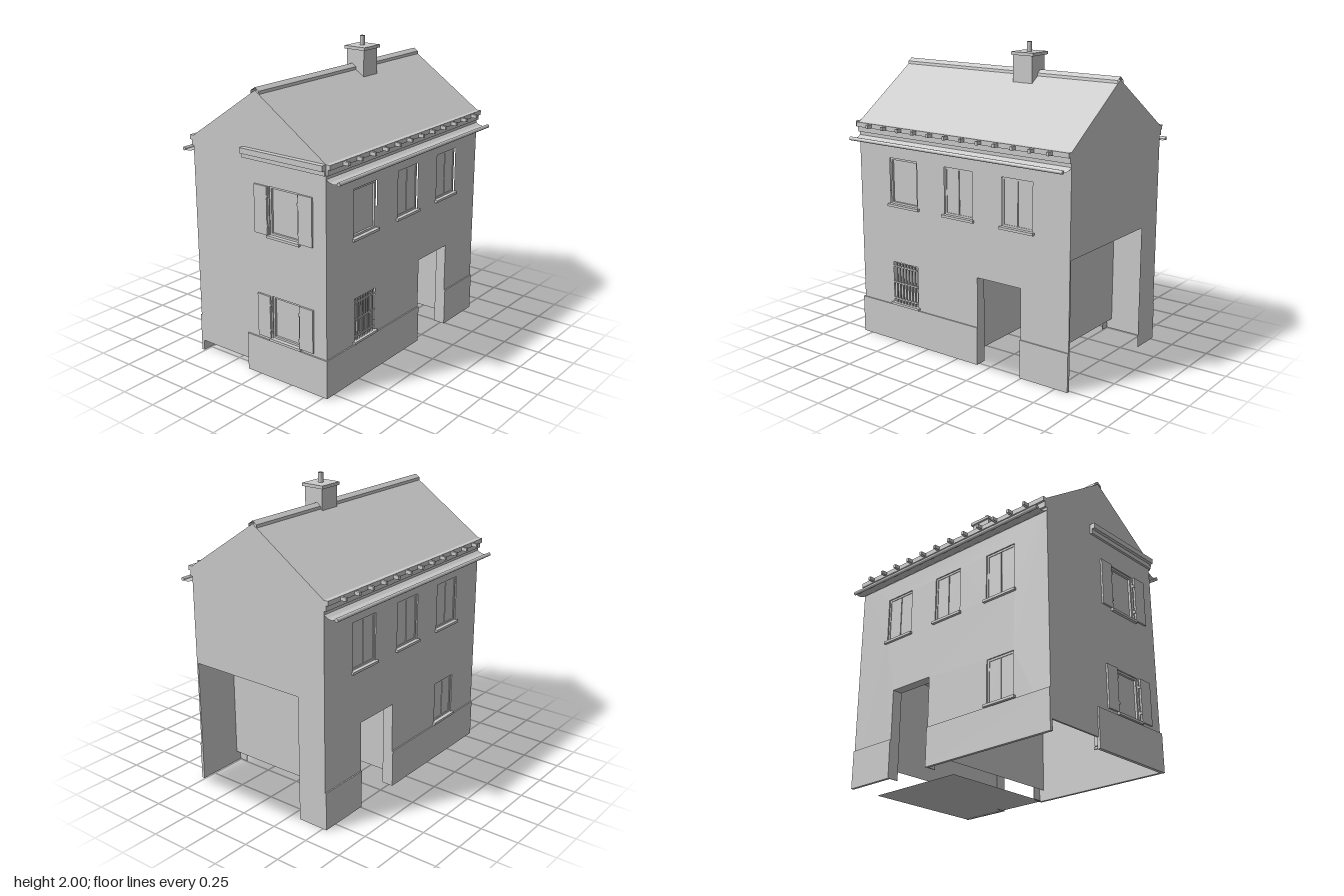
import * as THREE from 'three';

const mat = new THREE.MeshStandardMaterial({ color: 0xcccccc, flatShading: true });
const thin = new THREE.MeshStandardMaterial({ color: 0xcccccc, flatShading: true, side: THREE.DoubleSide });
const round = new THREE.MeshStandardMaterial({ color: 0xcccccc });

function add(parent, name, geo, m = mat) {
  const mesh = new THREE.Mesh(geo, m);
  mesh.name = name;
  parent.add(mesh);
  return mesh;
}

// box given by its limits on each axis
function box(parent, name, x0, x1, y0, y1, z0, z1) {
  const g = new THREE.BoxGeometry(x1 - x0, y1 - y0, z1 - z0);
  g.translate((x0 + x1) / 2, (y0 + y1) / 2, (z0 + z1) / 2);
  return add(parent, name, g);
}

function shape(points, holes = []) {
  const s = new THREE.Shape(points.map(p => new THREE.Vector2(...p)));
  for (const [a, b, c, d] of holes) {
    s.holes.push(new THREE.Path([[a, c], [a, d], [b, d], [b, c]].map(p => new THREE.Vector2(...p))));
  }
  return s;
}

// thin wall whose outer face lies on local z = 0
function wall(parent, name, points, holes) {
  const depth = 0.012;
  const g = new THREE.ExtrudeGeometry(shape(points, holes), { depth, bevelEnabled: false });
  g.translate(0, 0, -depth);
  return add(parent, name, g);
}

// open folded sheet: an x, y path swept along z
function sheet(parent, name, path, z0, z1) {
  const g = new THREE.PlaneGeometry(1, 1, path.length - 1, 1);
  const p = g.attributes.position;
  for (let i = 0; i < p.count; i++) {
    const [x, y] = path[i % path.length];
    p.setXYZ(i, x, y, i < path.length ? z0 : z1);
  }
  g.computeVertexNormals();
  return add(parent, name, g, thin);
}

// recessed window in a wall facing local +z: style is glass, leaves or grille
function windowUnit(parent, [u0, u1, v0, v1], style) {
  const w = new THREE.Group();
  w.name = 'window';
  parent.add(w);
  const t = 0.013, um = (u0 + u1) / 2;
  box(w, 'pane', u0, u1, v0, v1, -0.03, -0.022);
  box(w, 'sill', u0 - 0.014, u1 + 0.014, v0 - 0.016, v0, -0.02, 0.018);
  for (const [a, b] of [[u0, u0 + t], [u1 - t, u1]]) box(w, 'frameUpright', a, b, v0, v1, -0.025, -0.008);
  for (const [a, b] of [[v0, v0 + t], [v1 - t, v1]]) box(w, 'frameRail', u0 + t, u1 - t, a, b, -0.025, -0.008);
  if (style === 'leaves') {
    box(w, 'leaf', u0 + t, um - 0.003, v0 + t, v1 - t, -0.022, -0.012);
    box(w, 'leaf', um + 0.003, u1 - t, v0 + t, v1 - t, -0.022, -0.012);
  }
  if (style === 'grille') {
    for (let i = 1; i < 8; i++) {
      const u = u0 + (u1 - u0) * i / 8;
      box(w, 'grilleBar', u - 0.004, u + 0.004, v0, v1, -0.006, 0.002);
    }
    for (const f of [0.1, 0.5, 0.9]) {
      const v = v0 + (v1 - v0) * f;
      box(w, 'grilleRail', u0, u1, v - 0.005, v + 0.005, -0.004, 0.004);
    }
  }
  return w;
}

export function createModel() {
  const house = new THREE.Group();
  house.name = 'house';
  const X = 0.52, ZF = 0.81, ZB = -0.84, EAVE = 1.46, RIDGE = 1.81;

  // front gable with shuttered windows
  const front = new THREE.Group();
  front.name = 'frontFace';
  front.position.z = ZF;
  house.add(front);
  const frontWindows = [[0.09, 0.315, 0.945, 1.25], [0.10, 0.315, 0.27, 0.55]];
  wall(front, 'frontWall', [[-X, 0.07], [-0.105, 0.07], [-0.105, 0], [X, 0], [X, EAVE], [0, RIDGE], [-X, EAVE]], frontWindows);
  for (const r of frontWindows) {
    const w = windowUnit(front, r, 'glass');
    for (const [a, b] of [[r[0] - 0.107, r[0] - 0.008], [r[1] + 0.008, r[1] + 0.11]]) {
      box(w, 'openShutter', a, b, r[2], r[3], 0.002, 0.014);
    }
    for (const u of [r[0] - 0.004, r[1] + 0.004]) {
      for (const f of [0.2, 0.8]) {
        const v = r[2] + (r[3] - r[2]) * f;
        box(w, 'hinge', u - 0.004, u + 0.004, v - 0.008, v + 0.008, 0, 0.016);
      }
    }
  }
  box(front, 'frontPlinth', -0.105, X + 0.006, 0, 0.25, -0.005, 0.01);
  box(front, 'frontCornice', -0.105, X, 1.395, 1.425, 0, 0.015);
  box(front, 'frontCornice', -0.105, X, 1.425, EAVE, 0, 0.035);

  // back gable, open along one lower corner
  const back = add(house, 'backWall', new THREE.ShapeGeometry(shape(
    [[-X, 0.82], [0.32, 0.82], [0.32, 0], [X, 0], [X, EAVE], [0, RIDGE], [-X, EAVE]])));
  back.rotation.y = Math.PI;
  back.position.z = ZB;

  // long walls, each with a doorway near the back
  for (const s of [1, -1]) {
    const side = new THREE.Group();
    side.name = s > 0 ? 'leftSide' : 'rightSide';
    side.rotation.y = s * Math.PI / 2;
    side.position.x = s * X;
    house.add(side);
    const span = (z0, z1) => [-s * z0, -s * z1].sort((a, b) => a - b);
    const rects = [[0.32, 0.55], [-0.125, 0.095], [-0.575, -0.35]].map(([a, b]) => [...span(a, b), 0.945, 1.25]);
    rects.push([...span(0.33, 0.54), 0.27, 0.55]);
    const styles = s > 0 ? ['glass', 'leaves', 'leaves', 'grille'] : ['leaves', 'leaves', 'leaves', 'leaves'];
    const outline = [[ZB, 0], [-0.49, 0], [-0.49, 0.58], [-0.16, 0.58], [-0.16, 0], [ZF, 0], [ZF, EAVE], [ZB, EAVE]]
      .map(([z, y]) => [-s * z, y]);
    wall(side, 'sideWall', outline, rects);
    rects.forEach((r, i) => windowUnit(side, r, styles[i]));
    for (const [a, b] of [[ZB, -0.49], [-0.16, s > 0 ? ZF + 0.01 : ZF]]) {
      box(side, 'sidePlinth', ...span(a, b), 0, 0.25, -0.005, 0.008);
    }

    // door reveal
    for (const [a, b] of [[-0.495, -0.49], [-0.16, -0.155]]) box(side, 'doorJamb', ...span(a, b), 0, 0.58, -0.07, -0.001);
    box(side, 'doorHead', ...span(-0.495, -0.155), 0.58, 0.585, -0.07, -0.001);

    // stepped cornice with rafter ends
    box(side, 'cornice', ...span(ZB, ZF), 1.395, 1.43, 0, 0.015);
    box(side, 'cornice', ...span(ZB, ZF), 1.43, EAVE, -0.01, 0.03);
    for (let i = 0; i < 12; i++) {
      const u = -s * (-0.72 + i * 0.1275);
      box(side, 'rafterEnd', u - 0.009, u + 0.009, 1.434, 1.457, 0.025, 0.068);
    }

    // shallow gutter with a rounded lip
    sheet(house, 'gutterTrough', [[0.52, 1.372], [0.545, 1.358], [0.575, 1.352], [0.605, 1.36]].map(([x, y]) => [s * x, y]), ZB, ZF);
    const lip = new THREE.CylinderGeometry(0.012, 0.012, ZF - ZB, 10);
    lip.rotateZ(Math.PI / 2).translate(-s * (ZF + ZB) / 2, 1.36, 0.088);
    add(side, 'gutterLip', lip, round);
  }

  // roof planes and ridge cap
  sheet(house, 'roof', [[-X, EAVE], [0, RIDGE], [X, EAVE]], ZB, ZF);
  sheet(house, 'ridgeCap', [[-0.033, 1.79], [-0.03, 1.808], [0, 1.828], [0.03, 1.808], [0.033, 1.79]], ZB, ZF);

  // chimney
  box(house, 'chimneyStack', -0.043, 0.092, 1.745, 1.925, -0.265, -0.12);
  box(house, 'chimneyCap', -0.057, 0.103, 1.918, 1.938, -0.28, -0.112);
  const flue = new THREE.LatheGeometry([[0.016, 1.93], [0.016, 2], [0.011, 2], [0.011, 1.94]].map(p => new THREE.Vector2(...p)), 14);
  flue.translate(0.023, 0, -0.197);
  add(house, 'flue', flue, thin);

  // covered passage between the two doorways
  for (const [name, z] of [['passageBackWall', -0.53], ['passageFrontWall', -0.12]]) {
    const g = new THREE.PlaneGeometry(1.02, 0.65);
    g.translate(0, 0.395, z);
    add(house, name, g, thin);
  }
  const ceiling = new THREE.PlaneGeometry(1.02, 0.41);
  ceiling.rotateX(Math.PI / 2).translate(0, 0.72, -0.325);
  add(house, 'passageCeiling', ceiling, thin);
  const floor = new THREE.PlaneGeometry(0.82, 0.7);
  floor.rotateX(Math.PI / 2).translate(0.1, 0.002, -0.49);
  add(house, 'floorUnderside', floor);

  // hanging lantern
  const lantern = new THREE.Group();
  lantern.name = 'lantern';
  lantern.position.z = -0.325;
  house.add(lantern);
  box(lantern, 'cord', -0.002, 0.002, 0.55, 0.72, -0.002, 0.002);
  box(lantern, 'lanternBody', -0.019, 0.019, 0.48, 0.537, -0.019, 0.019);
  const cap = new THREE.CylinderGeometry(0.008, 0.032, 0.018, 4);
  cap.rotateY(Math.PI / 4).translate(0, 0.546, 0);
  add(lantern, 'lanternCap', cap);

  return house;
}
